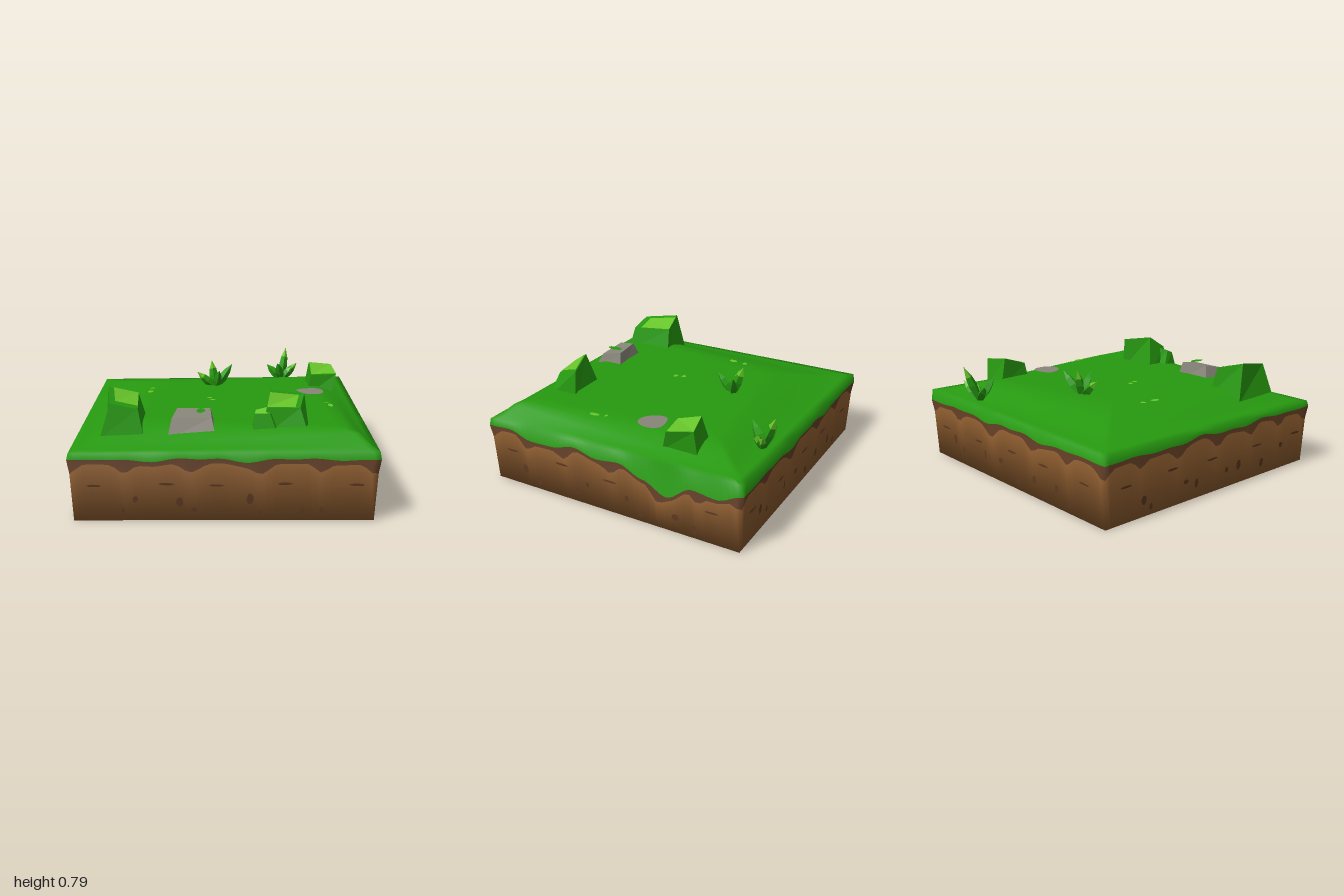
import * as THREE from 'three';
import { mergeGeometries } from 'three/addons/utils/BufferGeometryUtils.js';

const mat = (name, color) => Object.assign(new THREE.MeshStandardMaterial({ color }), { name });

export function createModel() {
  const model = new THREE.Group();
  model.name = 'grassTile';
  const grass = mat('grass green', 0x279a10);
  const light = mat('light green', 0x68c62a);
  const soil = mat('dark soil', 0x5d3a22);
  const dirt = mat('brown dirt', 0x8a5a2d);
  const stone = mat('grey stone', 0x88857a);

  let seed = 7;
  const rand = () => (seed = (seed * 16807) % 2147483647) / 2147483647;
  const add = (name, geometry, material, parent = model) => {
    const mesh = new THREE.Mesh(geometry, material);
    mesh.name = name;
    parent.add(mesh);
    return mesh;
  };

  // Ground block: square rings from the middle of the top, over the rim and down the walls
  const SEG = 48, COUNT = SEG * 4;
  const rimCorners = [0.46, 0.47, 0.5, 0.48];
  const rightDrips = [0.42, 0.43, 0.38, 0.385, 0.43, 0.39, 0.41, 0.34, 0.26, 0.37, 0.35, 0.42];
  const drip = (side, t) => {
    if (side === 1) {
      const f = t * (rightDrips.length - 1), i = Math.min(Math.floor(f), rightDrips.length - 2);
      return THREE.MathUtils.lerp(rightDrips[i], rightDrips[i + 1], THREE.MathUtils.smoothstep(f - i, 0, 1));
    }
    return 0.42 + Math.sin(Math.PI * t) * (0.012 * Math.sin(t * 19 + side * 2) + 0.008 * Math.sin(t * 41 + side));
  };
  const rimPoint = j => {
    const side = Math.floor(j / SEG) % 4, t = (j % SEG) / SEG, s = 2 * t - 1;
    const [x, z] = [[s, 1], [1, -s], [-s, -1], [-1, s]][side];
    const rim = THREE.MathUtils.lerp(rimCorners[side], rimCorners[(side + 1) % 4], t);
    const edge = drip(side, t);
    const arch = edge - 0.035 - 0.06 * Math.abs(Math.cos(Math.PI * t * (5 + side % 2) + 0.4 * Math.sin(7 * t))) ** 8;
    return { x, z, rim, edge, arch };
  };
  const topRings = [0, 0.3, 0.45, 0.55, 0.64, 0.72, 0.8, 0.87, 0.94, 0.99];
  const rings = topRings.map(k => p => {
    const width = 0.36 - 0.1 * (p.x + p.z);
    const rise = THREE.MathUtils.smoothstep(0.99 - k, 0, width);
    return [k, p.rim + (0.575 - p.rim) * rise];
  });
  rings.push(p => [0.998, p.edge], p => [0.985, p.arch], () => [0.972, 0], () => [0.94, 0.004], () => [0, 0.004]);
  const pos = [], index = [];
  for (const ring of rings) {
    for (let j = 0; j < COUNT; j++) {
      const p = rimPoint(j), [k, y] = ring(p);
      pos.push(p.x * k, y, p.z * k * 0.99);
    }
  }
  const block = new THREE.BufferGeometry();
  for (let i = 0; i < rings.length - 1; i++) {
    const start = index.length;
    for (let j = 0; j < COUNT; j++) {
      const n = (j + 1) % COUNT, a = i * COUNT + j, b = i * COUNT + n, c = a + COUNT, d = b + COUNT;
      index.push(a, c, d, a, d, b);
    }
    const last = topRings.length - 1;
    const m = i <= last ? 0 : i === last + 1 || i === last + 4 ? 1 : 2;
    block.addGroup(start, index.length - start, m);
  }
  block.setAttribute('position', new THREE.Float32BufferAttribute(pos, 3));
  block.setIndex(index);
  block.computeVertexNormals();
  // Soft roll of the walls: top turned up, foot turned under
  const normals = block.attributes.normal, v = new THREE.Vector3();
  [[10, 0.3], [11, 0.35], [12, -1.1]].forEach(([r, tilt]) => {
    for (let i = r * COUNT; i < (r + 1) * COUNT; i++) {
      v.fromBufferAttribute(normals, i);
      v.y += tilt;
      v.normalize();
      normals.setXYZ(i, v.x, v.y, v.z);
    }
  });
  add('groundBlock', block, [grass, soil, dirt]);

  // Rounded flat shape through the middles of the polygon's edges
  const softShape = pts => {
    const mid = i => pts[i % pts.length].clone().add(pts[(i + 1) % pts.length]).multiplyScalar(0.5);
    const shape = new THREE.Shape();
    shape.moveTo(mid(0).x, mid(0).y);
    for (let i = 1; i <= pts.length; i++) {
      const c = pts[i % pts.length], e = mid(i);
      shape.quadraticCurveTo(c.x, c.y, e.x, e.y);
    }
    return new THREE.ShapeGeometry(shape, 3);
  };
  const blob = (rx, ry) => softShape(Array.from({ length: 7 }, (_, i) => {
    const a = i / 7 * Math.PI * 2, r = 0.85 + rand() * 0.5;
    return new THREE.Vector2(Math.cos(a) * rx * r, Math.sin(a) * ry * r);
  }));

  // Cracked underside: rounded cells of dirt over dark soil
  const sites = [];
  for (let i = 0; i < 8; i++) for (let j = 0; j < 8; j++) {
    sites.push(new THREE.Vector2((i + 0.1 + rand() * 0.8) / 4 - 1, (j + 0.1 + rand() * 0.8) / 4 - 1).multiplyScalar(0.95));
  }
  const cells = sites.map(site => {
    let poly = [[-1, -1], [1, -1], [1, 1], [-1, 1]].map(([x, y]) => new THREE.Vector2(x * 0.95, y * 0.94));
    for (const other of sites) {
      if (other === site) continue;
      const dir = other.clone().sub(site), limit = dir.length() / 2 - 0.014;
      dir.normalize();
      const dist = p => p.clone().sub(site).dot(dir) - limit, cut = [];
      poly.forEach((p, i) => {
        const q = poly[(i + 1) % poly.length], dp = dist(p), dq = dist(q);
        if (dp <= 0) cut.push(p);
        if (dp * dq < 0) cut.push(p.clone().lerp(q, dp / (dp - dq)));
      });
      poly = cut;
    }
    return poly;
  }).filter(poly => poly.length > 2).map(softShape);
  add('undersideCells', mergeGeometries(cells).rotateX(Math.PI / 2), dirt);

  // Dark flecks on the four walls
  for (let side = 0; side < 4; side++) {
    const wall = new THREE.Group();
    wall.name = 'wallFlecks';
    wall.rotation.y = side * Math.PI / 2;
    const reach = side % 2 ? 1 : 0.99;
    for (let i = 0; i < 13; i++) {
      const y = i % 3 ? 0.05 + rand() * 0.13 : 0.235 + rand() * 0.03;
      const fleck = add('fleck', i % 3 ? blob(0.012 + rand() * 0.012, 0.015 + rand() * 0.02) : blob(0.05, 0.008), soil, wall);
      fleck.position.set(-0.88 + (i + rand() * 0.7) * 0.137, y, (0.972 + 0.04 * y) * reach + 0.004);
      fleck.rotation.x = 0.043;
    }
    model.add(wall);
  }

  // Block with four-cornered foot and top; corners run front left, front right, back right, back left
  const quad = q => [q[0], q[1], q[2], q[0], q[2], q[3]];
  const flat = pts => {
    const g = new THREE.BufferGeometry();
    g.setAttribute('position', new THREE.Float32BufferAttribute(pts.flat(), 3));
    g.computeVertexNormals();
    return g;
  };
  const mound = (name, foot, top, material, patch, corner = 2, size = 0.8) => {
    const group = new THREE.Group();
    group.name = name;
    const sides = foot.flatMap((p, i) => {
      const n = (i + 1) % 4;
      return quad([p, foot[n], top[n], top[i]]);
    });
    add(name + 'Body', flat([...sides, ...quad(top)]), material, group);
    if (patch) {
      const c = top[corner];
      const inset = top.map(p => p.map((value, k) => c[k] + (value - c[k]) * size + (k === 1 ? 0.004 : 0)));
      add(name + 'Patch', flat(quad(inset)), patch, group);
    }
    model.add(group);
  };
  const foot = (x0, x1, z0, z1, y = 0.5) => [[x0, y, z1], [x1, y, z1], [x1, y, z0], [x0, y, z0]];
  mound('leftHillock', foot(-0.81, -0.52, 0.43, 0.8),
    [[-0.74, 0.73, 0.76], [-0.56, 0.69, 0.76], [-0.58, 0.72, 0.45], [-0.78, 0.775, 0.49]], grass, light, 2, 0.82);
  mound('frontHillock', foot(0.24, 0.56, 0.56, 0.8),
    [[0.28, 0.7, 0.75], [0.5, 0.69, 0.73], [0.54, 0.745, 0.56], [0.31, 0.785, 0.63]], grass, light, 0, 0.85);
  mound('frontHillockSpur', foot(0.18, 0.36, 0.66, 0.81),
    [[0.2, 0.66, 0.77], [0.3, 0.66, 0.77], [0.32, 0.7, 0.7], [0.21, 0.68, 0.73]], grass, light, 0, 0.8);
  mound('backHillock', foot(0.65, 0.84, -0.59, -0.33),
    [[0.68, 0.66, -0.35], [0.88, 0.66, -0.38], [0.86, 0.695, -0.57], [0.68, 0.72, -0.53]], grass, light, 2, 0.97);
  mound('boulder', foot(-0.37, -0.05, 0.57, 0.82),
    [[-0.34, 0.63, 0.76], [-0.08, 0.63, 0.75], [-0.09, 0.655, 0.6], [-0.31, 0.66, 0.62]], stone);

  // Flat details lying on the ground
  const lay = (name, x, y, z, rx, rz, material) => {
    add(name, blob(rx, rz).rotateX(-Math.PI / 2), material).position.set(x, y, z);
  };
  lay('flatStone', 0.655, 0.581, -0.15, 0.095, 0.1, stone);
  lay('mossPatch', -0.15, 0.662, 0.69, 0.03, 0.055, grass);
  [[-0.54, -0.25, 0.018], [-0.55, -0.15, 0.035], [-0.1, 0.04, 0.018], [-0.08, 0.1, 0.015], [0.74, 0.17, 0.01], [0.76, 0.25, 0.035]]
    .forEach(([x, z, r]) => lay('grassFleck', x, 0.58, z, 0.02, r, light));

  // Leafy tufts: four-sided blades, some with light tips
  const blade = (base, tip, tipMaterial, parent) => {
    const from = new THREE.Vector3(...base), dir = new THREE.Vector3(...tip).sub(from), h = dir.length();
    const group = new THREE.Group();
    group.name = 'blade';
    const part = (name, profile, material) => {
      const g = new THREE.LatheGeometry(profile.map(([r, y]) => new THREE.Vector2(r, y * h)), 4).toNonIndexed();
      g.computeVertexNormals();
      add(name, g, material, group);
    };
    part('bladeStem', [[0.022, 0], [0.034, 0.45], [0.026, 0.7]], grass);
    part('bladeTip', [[0.026, 0.7], [0.0005, 1]], tipMaterial);
    group.position.copy(from);
    group.quaternion.setFromUnitVectors(new THREE.Vector3(0, 1, 0), dir.normalize());
    parent.add(group);
  };
  const tuft = (name, base, tips) => {
    const group = new THREE.Group();
    group.name = name;
    tips.forEach((tip, i) => blade(base, tip, i % 2 ? grass : light, group));
    model.add(group);
  };
  tuft('middleTuft', [-0.06, 0.55, -0.39],
    [[-0.2, 0.68, -0.37], [0.07, 0.725, -0.45], [-0.09, 0.755, -0.45], [-0.03, 0.71, -0.28]]);
  tuft('backTuft', [0.49, 0.5, -0.88],
    [[0.53, 0.75, -0.98], [0.37, 0.62, -0.92], [0.62, 0.63, -0.93], [0.45, 0.66, -0.78], [0.57, 0.61, -0.86]]);

  return model;
}
